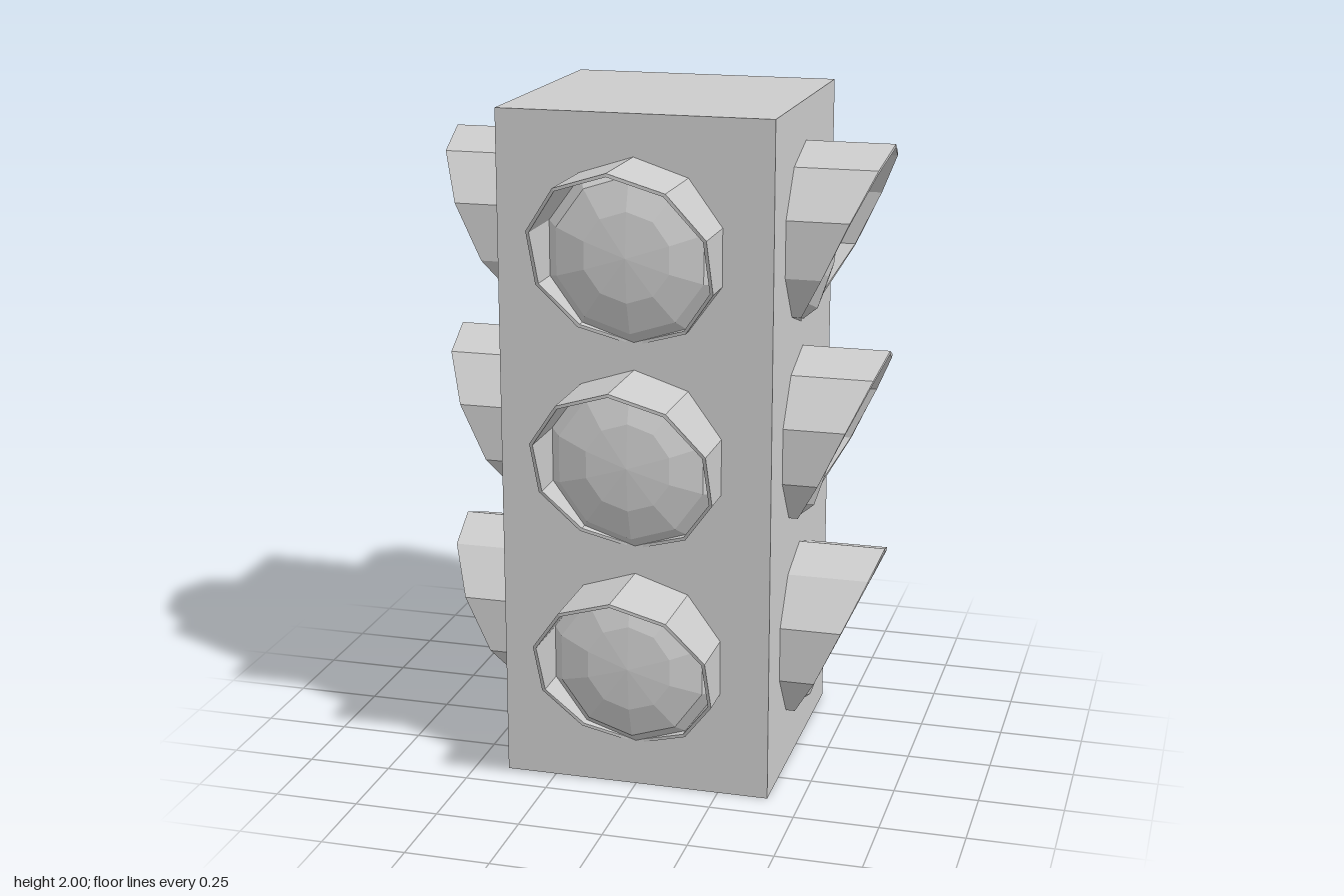
import * as THREE from 'three';

const SIDES = 10, R_OUT = 0.268, R_IN = 0.258, FACE = 0.4;
// How far the visor reaches, from its top corner round to its bottom corner
const REACH = [0.66, 0.64, 0.58, 0.503, 0.427, 0.395];

// Slanted visor: a thin decagonal tube, swept back face -> rim -> inside
function visorGeometry() {
  const point = (ring, i) => {
    const k = i % SIDES;
    const a = (k / SIDES) * Math.PI * 2;
    const r = ring < 2 ? R_OUT : R_IN;
    const z = ring === 1 || ring === 2 ? REACH[Math.min(k, SIDES - k)] : FACE - 0.02;
    return [Math.sin(a) * r, Math.cos(a) * r, z];
  };
  const pos = [];
  for (let ring = 0; ring < 3; ring++) {
    for (let i = 0; i < SIDES; i++) {
      const a = point(ring, i), b = point(ring, i + 1);
      const c = point(ring + 1, i + 1), d = point(ring + 1, i);
      pos.push(...a, ...d, ...c, ...a, ...c, ...b);
    }
  }
  const geo = new THREE.BufferGeometry();
  geo.setAttribute('position', new THREE.Float32BufferAttribute(pos, 3));
  geo.computeVertexNormals();
  return geo;
}

// Shallow faceted dome facing +z
function lensGeometry() {
  const geo = new THREE.SphereGeometry(R_IN, SIDES, 3, 0, Math.PI * 2, 0, Math.PI / 2);
  geo.rotateX(Math.PI / 2);
  geo.rotateZ(Math.PI / 2);
  geo.scale(1, 1, 0.085 / R_IN);
  geo.translate(0, 0, FACE);
  return geo;
}

export function createModel() {
  const model = new THREE.Group();
  model.name = 'trafficLight';
  const material = new THREE.MeshStandardMaterial({ color: 0xcccccc, flatShading: true });
  const thin = new THREE.MeshStandardMaterial({
    color: 0xcccccc, flatShading: true, side: THREE.DoubleSide,
  });

  // Housing
  const housing = new THREE.Mesh(new THREE.BoxGeometry(0.8, 2, 0.8), material);
  housing.position.y = 1;
  housing.name = 'housing';
  model.add(housing);

  // Three lamps on each of the four sides
  const visorGeo = visorGeometry(), lensGeo = lensGeometry();
  const sideNames = ['front', 'left', 'back', 'right'];
  const levels = [['Bottom', 0.396], ['Middle', 1.006], ['Top', 1.612]];
  sideNames.forEach((side, s) => {
    for (const [level, y] of levels) {
      const lamp = new THREE.Group();
      lamp.name = `${side}${level}Lamp`;
      const visor = new THREE.Mesh(visorGeo, thin);
      visor.name = 'visor';
      const lens = new THREE.Mesh(lensGeo, material);
      lens.name = 'lens';
      lamp.add(visor, lens);
      lamp.position.y = y;
      lamp.rotation.y = (s * Math.PI) / 2;
      model.add(lamp);
    }
  });
  return model;
}
